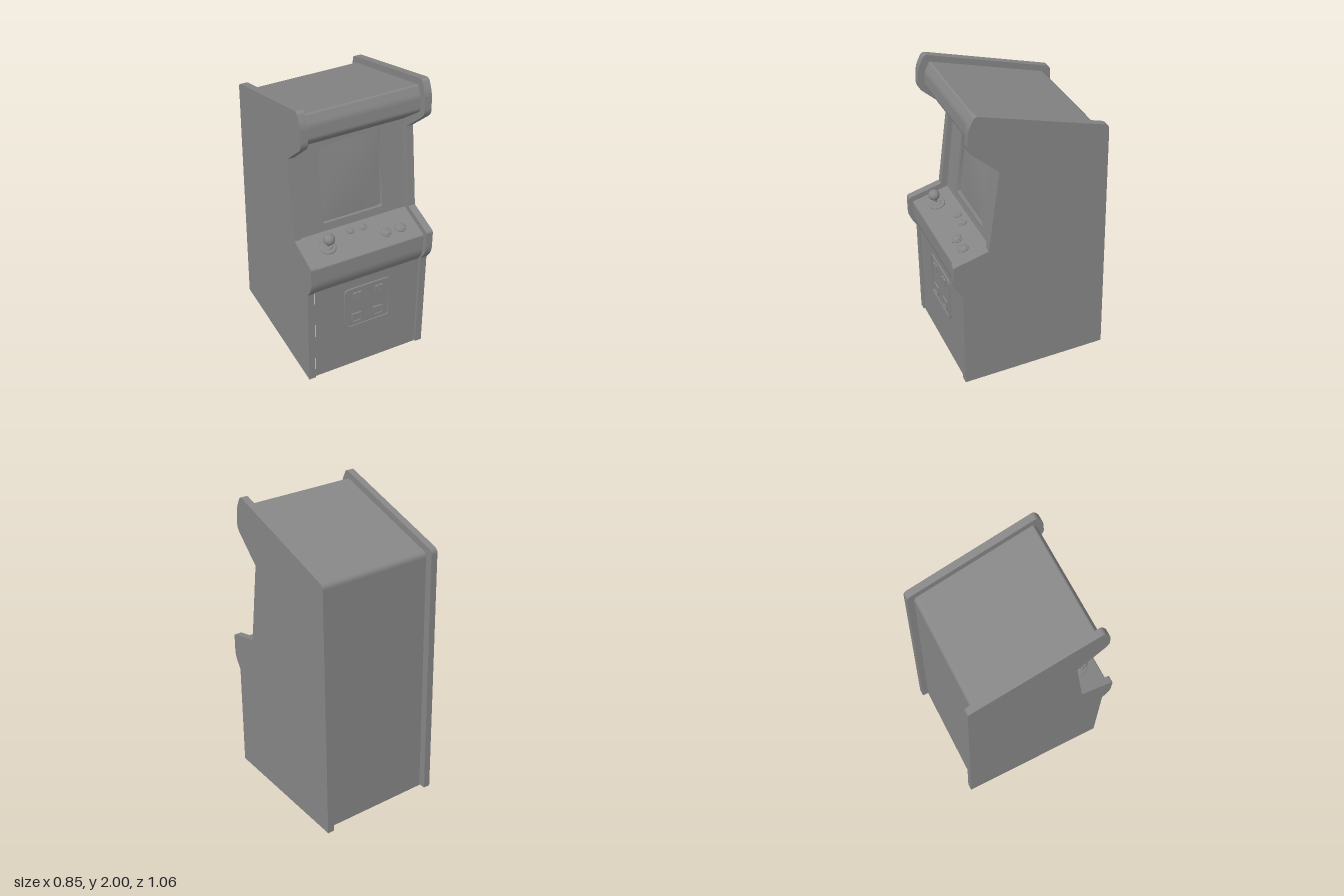
import * as THREE from 'three';
import { toCreasedNormals } from 'three/addons/utils/BufferGeometryUtils.js';

const material = new THREE.MeshStandardMaterial({ color: 0x868686 });
const thinMaterial = new THREE.MeshStandardMaterial({ color: 0x868686, side: THREE.DoubleSide });
const bodyHalfWidth = 0.372;
const curveSteps = 10;

function add(parent, name, geometry, x = 0, y = 0, z = 0, mat = material) {
  const mesh = new THREE.Mesh(geometry, mat);
  mesh.name = name;
  mesh.position.set(x, y, z);
  parent.add(mesh);
  return mesh;
}

function addGroup(parent, name, x, y, z) {
  const group = new THREE.Group();
  group.name = name;
  group.position.set(x, y, z);
  parent.add(group);
  return group;
}

// Draws [x, y, cornerRadius] points into a path, rounding the corners
function drawProfile(path, points) {
  const v = points.map(([x, y]) => new THREE.Vector2(x, y));
  path.moveTo(v[0].x, v[0].y);
  for (let i = 1; i < v.length; i++) {
    const r = points[i][2] || 0;
    if (!r || i === v.length - 1) {
      path.lineTo(v[i].x, v[i].y);
      continue;
    }
    const a = v[i - 1].clone().sub(v[i]).setLength(r).add(v[i]);
    const b = v[i + 1].clone().sub(v[i]).setLength(r).add(v[i]);
    path.lineTo(a.x, a.y);
    path.quadraticCurveTo(v[i].x, v[i].y, b.x, b.y);
  }
  return path;
}

function roundedRect(path, w, h, r, cy = 0) {
  const x = w / 2, y = h / 2;
  return drawProfile(path, [[0, cy - y], [x, cy - y, r], [x, cy + y, r],
    [-x, cy + y, r], [-x, cy - y, r], [0, cy - y]]);
}

// Sheet stretched sideways along a [z, y, radius] profile
function sheet(profile, halfWidth) {
  const pts = drawProfile(new THREE.Path(), profile).getPoints(curveSteps);
  const pos = [], index = [];
  pts.forEach((p, i) => {
    pos.push(-halfWidth, p.y, p.x, halfWidth, p.y, p.x);
    const k = i * 2;
    if (i < pts.length - 1) index.push(k, k + 1, k + 3, k, k + 3, k + 2);
  });
  const indexed = new THREE.BufferGeometry();
  indexed.setAttribute('position', new THREE.Float32BufferAttribute(pos, 3));
  indexed.setIndex(index);
  const g = indexed.toNonIndexed();
  g.computeVertexNormals();
  return g;
}

// Rectangular or rounded ring, extruded towards +z
function ring(w, h, r, border, depth) {
  const shape = roundedRect(new THREE.Shape(), w, h, r);
  shape.holes.push(roundedRect(new THREE.Path(), w - 2 * border, h - 2 * border, Math.max(r - border, 0.002)));
  const g = new THREE.ExtrudeGeometry(shape, { depth, bevelEnabled: false, curveSegments: 6 });
  return toCreasedNormals(g, 0.5);
}

// Hollow side panels, open underneath
function sidePanels(parent) {
  const profile = [
    [0.475, 0], [0.475, 0.735], [0.53, 0.82, 0.045], [0.53, 0.982, 0.015], [0.3, 1.04],
    [0.226, 1.6], [0.425, 1.785, 0.04], [0.415, 1.925, 0.03], [0.375, 2.006, 0.025],
    [-0.483, 1.745, 0.03], [-0.53, 0],
  ];
  const half = 0.0235;
  const edge = sheet(profile, half);
  const face = new THREE.ShapeGeometry(drawProfile(new THREE.Shape(), profile), curveSteps);
  face.rotateY(-Math.PI / 2);
  for (const side of [-1, 1]) {
    const panel = addGroup(parent, side > 0 ? 'leftSidePanel' : 'rightSidePanel', side * 0.4015, 0, 0);
    add(panel, 'panelEdge', edge, 0, 0, 0, thinMaterial);
    for (const x of [-half, half]) add(panel, 'panelFace', face, x, 0, 0, thinMaterial);
  }
}

function screenSection(parent, bottom, top) {
  const rise = top[1] - bottom[1], run = bottom[0] - top[0];
  const length = Math.hypot(rise, run), w = 0.436, h = 0.554, cy = 0.321;
  const group = addGroup(parent, 'screenSection', 0, bottom[1], bottom[0]);
  group.rotation.x = -Math.atan2(run, rise);

  const x = bodyHalfWidth;
  const face = drawProfile(new THREE.Shape(), [[-x, 0], [x, 0], [x, length], [-x, length], [-x, 0]]);
  face.holes.push(roundedRect(new THREE.Path(), w, h, 0.025, cy));
  add(group, 'screenBezel', new THREE.ShapeGeometry(face, 6), 0, 0, 0, thinMaterial);
  add(group, 'screenRim', ring(w + 0.004, h + 0.004, 0.027, 0.009, 0.028), 0, cy, -0.032);

  // Gently bulging glass
  const glass = new THREE.PlaneGeometry(w, h, 16, 16);
  const p = glass.attributes.position;
  for (let i = 0; i < p.count; i++) {
    const u = p.getX(i) / (w / 2), v = p.getY(i) / (h / 2);
    p.setZ(i, 0.014 * (1 - u * u) * (1 - v * v));
  }
  glass.computeVertexNormals();
  add(group, 'screenGlass', glass, 0, cy, -0.028, thinMaterial);
}

function controls(parent, front, back) {
  const slope = (back[1] - front[1]) / (front[0] - back[0]);
  const mount = (name, x, z) => {
    const g = addGroup(parent, name, x, front[1] + (front[0] - z) * slope, z);
    g.rotation.x = Math.atan(slope);
    return g;
  };
  const turned = (pts) => toCreasedNormals(
    new THREE.LatheGeometry(pts.map(([r, y]) => new THREE.Vector2(r, y)), 28), 0.6);

  const stick = mount('joystick', -0.24, 0.383);
  add(stick, 'joystickBase', turned([[0.054, -0.005], [0.054, 0.006], [0.05, 0.011], [0.03, 0.011],
    [0.026, 0.018], [0.011, 0.021], [0, 0.021]]));
  add(stick, 'joystickShaft', new THREE.CylinderGeometry(0.009, 0.009, 0.07, 16), 0, 0.04, 0);
  add(stick, 'joystickBall', new THREE.SphereGeometry(0.037, 28, 18), 0, 0.081, 0);

  const button = (name, x, z, r, h) => add(mount(name, x, z), name + 'Cap', turned([
    [r, -0.005], [r, h * 0.4], [r * 0.9, h * 0.6], [r * 0.76, h * 0.6], [r * 0.74, h * 0.85], [r * 0.6, h], [0, h]]));
  for (const x of [0.155, 0.26]) button('actionButton', x, 0.404, 0.036, 0.017);
  for (const x of [-0.05, 0.04]) button('startButton', x, 0.315, 0.026, 0.013);
}

function coinDoor(parent) {
  const door = addGroup(parent, 'coinDoor', 0, 0.5, 0.465);
  add(door, 'doorFrame', ring(0.334, 0.334, 0.036, 0.015, 0.034), 0, 0, -0.024);
  const plate = new THREE.ExtrudeGeometry(roundedRect(new THREE.Shape(), 0.306, 0.306, 0.022),
    { depth: 0.02, bevelEnabled: false, curveSegments: 6 });
  add(door, 'doorPlate', toCreasedNormals(plate, 0.5), 0, 0, -0.017);
  for (const side of [-1, 1]) {
    const x = side * 0.078;
    // Coin slot block with a narrow vertical groove
    for (const e of [-1, 1]) {
      add(door, 'coinSlotCheek', new THREE.BoxGeometry(0.022, 0.054, 0.014), x + e * 0.016, 0.1, 0.009);
    }
    add(door, 'coinSlotBack', new THREE.BoxGeometry(0.05, 0.054, 0.006), x, 0.1, 0.004);
    // Coin return with a raised surround
    add(door, 'coinReturnFrame', ring(0.07, 0.07, 0.003, 0.007, 0.012), x, -0.085, 0.001);
    add(door, 'coinReturnFlap', new THREE.BoxGeometry(0.06, 0.06, 0.006), x, -0.085, 0.003);
  }
}

export function createModel() {
  const model = new THREE.Group();
  model.name = 'arcadeCabinet';
  sidePanels(model);

  // Open-bottomed body between the side panels, as [z, y] corners
  const panelFront = [0.507, 0.954], bezelBottom = [0.262, 1.015], bezelTop = [0.19, 1.637];
  add(model, 'lowerFront', sheet([
    [0.465, 0], [0.465, 0.732], [0.507, 0.81, 0.04], [...panelFront, 0.01], bezelBottom,
  ], bodyHalfWidth), 0, 0, 0, thinMaterial);
  add(model, 'marqueeTopAndBack', sheet([
    bezelTop, [0.385, 1.795, 0.025], [0.378, 1.895, 0.02], [0.345, 1.957, 0.012],
    [-0.442, 1.718, 0.03], [-0.488, 0],
  ], bodyHalfWidth), 0, 0, 0, thinMaterial);

  screenSection(model, bezelBottom, bezelTop);
  controls(model, panelFront, bezelBottom);
  coinDoor(model);
  return model;
}
